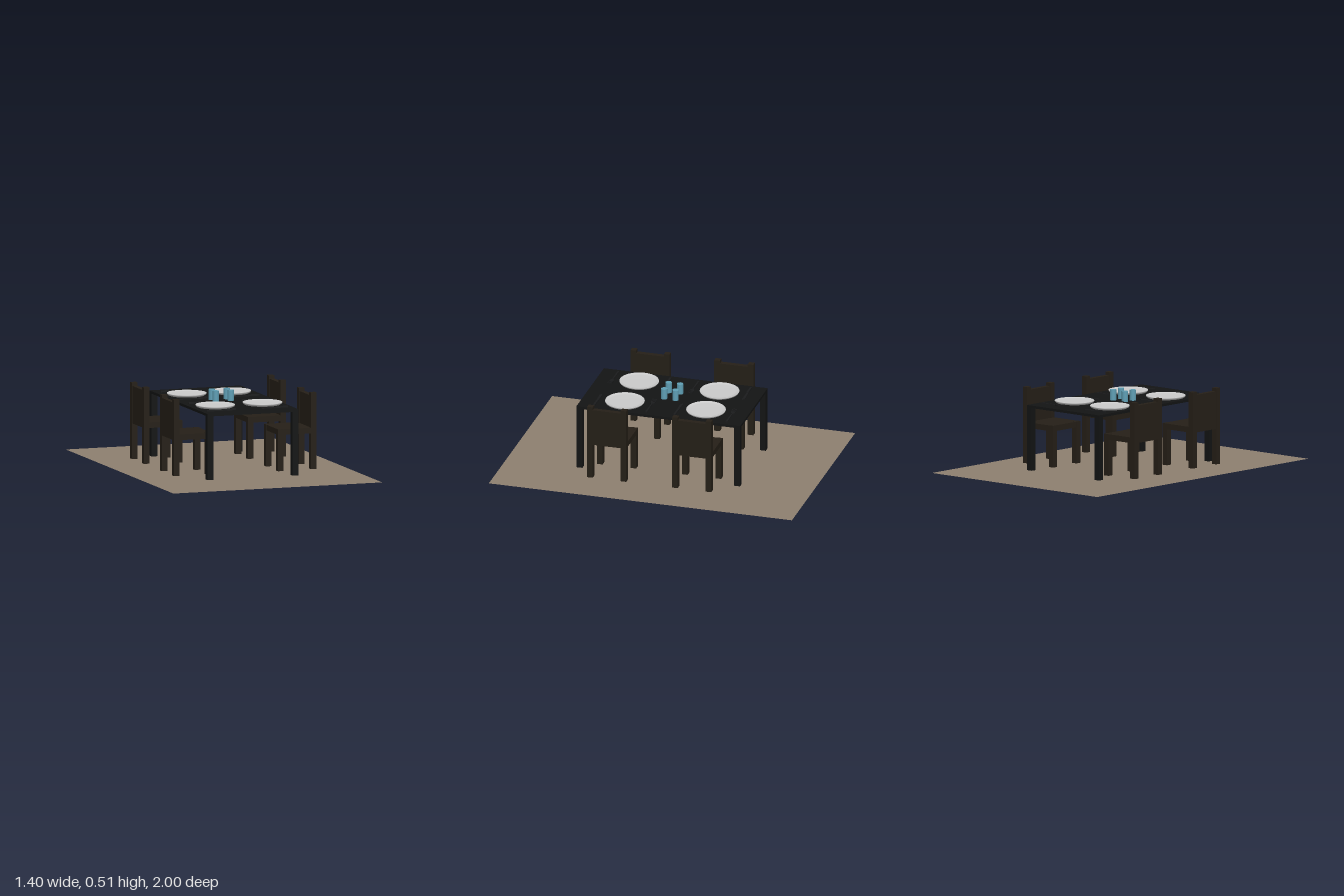
import * as THREE from 'three';

const mat = (color, extra = {}) => new THREE.MeshStandardMaterial({ color, ...extra });
const rugMat = mat(0x8e8070, { side: THREE.DoubleSide });
const tableMat = mat(0x131414);
const chairMat = mat(0x251f17);
const cupMat = mat(0x5f9fb5);
const plateMat = mat(0xcccccc);
const cutleryMat = mat(0x1b1c1d);

const TOP = 0.428; // table surface height

function add(parent, name, geometry, material, x = 0, y = 0, z = 0) {
  const mesh = new THREE.Mesh(geometry, material);
  mesh.name = name;
  mesh.position.set(x, y, z);
  parent.add(mesh);
  return mesh;
}

// Box given by its extents along each axis
function block(parent, name, material, [x0, x1], [y0, y1], [z0, z1]) {
  return add(parent, name, new THREE.BoxGeometry(x1 - x0, y1 - y0, z1 - z0), material,
    (x0 + x1) / 2, (y0 + y1) / 2, (z0 + z1) / 2);
}

function makeTable() {
  const table = new THREE.Group();
  table.name = 'table';
  block(table, 'tableTop', tableMat, [-0.306, 0.306], [0.412, TOP], [-0.54, 0.54]);
  for (const sx of [-1, 1]) for (const sz of [-1, 1]) {
    const leg = block(table, 'tableLeg', tableMat,
      [-0.019, 0.019], [sz > 0 ? 0 : 0.01, 0.414], [-0.019, 0.019]);
    leg.position.x = sx * 0.286;
    leg.position.z = sz * 0.52;
  }
  return table;
}

// Chair with its back at x = 0, facing +x
function makeChair() {
  const chair = new THREE.Group();
  chair.name = 'chair';
  const half = 0.129, post = 0.037;
  block(chair, 'seat', chairMat, [0.01, 0.256], [0.25, 0.286], [-half, half]);
  block(chair, 'backPanel', chairMat, [0.001, 0.033], [0.25, 0.49], [-half + 0.004, half - 0.004]);
  for (const s of [-1, 1]) {
    const z = s * (half - post / 2);
    const span = [z - post / 2, z + post / 2];
    block(chair, 'backPost', chairMat, [0, post], [0.022, 0.51], span);
    block(chair, 'frontLeg', chairMat, [0.258 - post, 0.258], [0.019, 0.287], span);
  }
  return chair;
}

// Shallow plate with a raised rim
function plateGeometry() {
  const profile = [[0, 0], [0.112, 0], [0.122, 0.006], [0.126, 0.013], [0.125, 0.016],
    [0.121, 0.016], [0.112, 0.012], [0.1, 0.01], [0, 0.01]];
  return new THREE.LatheGeometry(profile.map(([r, y]) => new THREE.Vector2(r, y)), 48);
}

// Extrude a flat outline drawn in x and z, lying on the table
function flatGeometry(shape, thickness) {
  const g = new THREE.ExtrudeGeometry(shape, { depth: thickness, bevelEnabled: false, curveSegments: 6 });
  return g.rotateX(-Math.PI / 2);
}

// Handle at -x, head at +x
function makeFork() {
  const fork = new THREE.Group();
  fork.name = 'fork';
  const body = new THREE.Shape();
  body.moveTo(-0.095, -0.006);
  body.lineTo(0.03, -0.003);
  body.quadraticCurveTo(0.04, -0.013, 0.058, -0.014);
  body.lineTo(0.058, 0.014);
  body.quadraticCurveTo(0.04, 0.013, 0.03, 0.003);
  body.lineTo(-0.095, 0.006);
  add(fork, 'forkBody', flatGeometry(body, 0.008), cutleryMat);
  for (let i = 0; i < 4; i++) {
    add(fork, 'forkTine', new THREE.BoxGeometry(0.04, 0.008, 0.004), cutleryMat,
      0.076, 0.006, -0.012 + i * 0.008).rotation.z = 0.12;
  }
  return fork;
}

function makeKnife() {
  const knife = new THREE.Group();
  knife.name = 'knife';
  block(knife, 'knifeHandle', cutleryMat, [-0.092, -0.015], [0, 0.01], [-0.006, 0.006]);
  const blade = new THREE.Shape();
  blade.moveTo(-0.015, -0.005);
  blade.lineTo(0.09, -0.005);
  blade.quadraticCurveTo(0.085, 0.011, 0.065, 0.011);
  blade.lineTo(-0.015, 0.007);
  add(knife, 'knifeBlade', flatGeometry(blade, 0.006), cutleryMat);
  return knife;
}

export function createModel() {
  const model = new THREE.Group();
  model.name = 'diningSet';

  const rug = new THREE.PlaneGeometry(1.404, 2).rotateX(-Math.PI / 2);
  add(model, 'rug', rug, rugMat, 0, 0.005, 0);
  model.add(makeTable());

  // One place per chair: side of table, chair back x, chair z, plate x, plate z
  const places = [
    [-1, -0.485, 0.279, -0.154, 0.262],
    [-1, -0.485, -0.274, -0.154, -0.268],
    [1, 0.469, 0.292, 0.164, 0.262],
    [1, 0.469, -0.269, 0.146, -0.268],
  ];
  const plate = plateGeometry();
  for (const [side, chairX, chairZ, plateX, plateZ] of places) {
    const turn = side > 0 ? Math.PI : 0;
    const chair = makeChair();
    chair.position.set(chairX, 0, chairZ);
    chair.rotation.y = turn;
    model.add(chair);

    add(model, 'plate', plate, plateMat, plateX, TOP, plateZ);

    for (const [piece, offset] of [[makeFork(), 0.173], [makeKnife(), -0.173]]) {
      piece.position.set(side * 0.178, TOP, plateZ - side * offset);
      piece.rotation.y = turn;
      model.add(piece);
    }
  }

  // Four cups in the middle of the table
  const cup = new THREE.CylinderGeometry(0.0205, 0.0205, 0.068, 24);
  for (const x of [-0.071, 0.03]) for (const z of [-0.032, 0.043]) {
    add(model, 'cup', cup, cupMat, x, TOP + 0.034, z);
  }
  return model;
}
